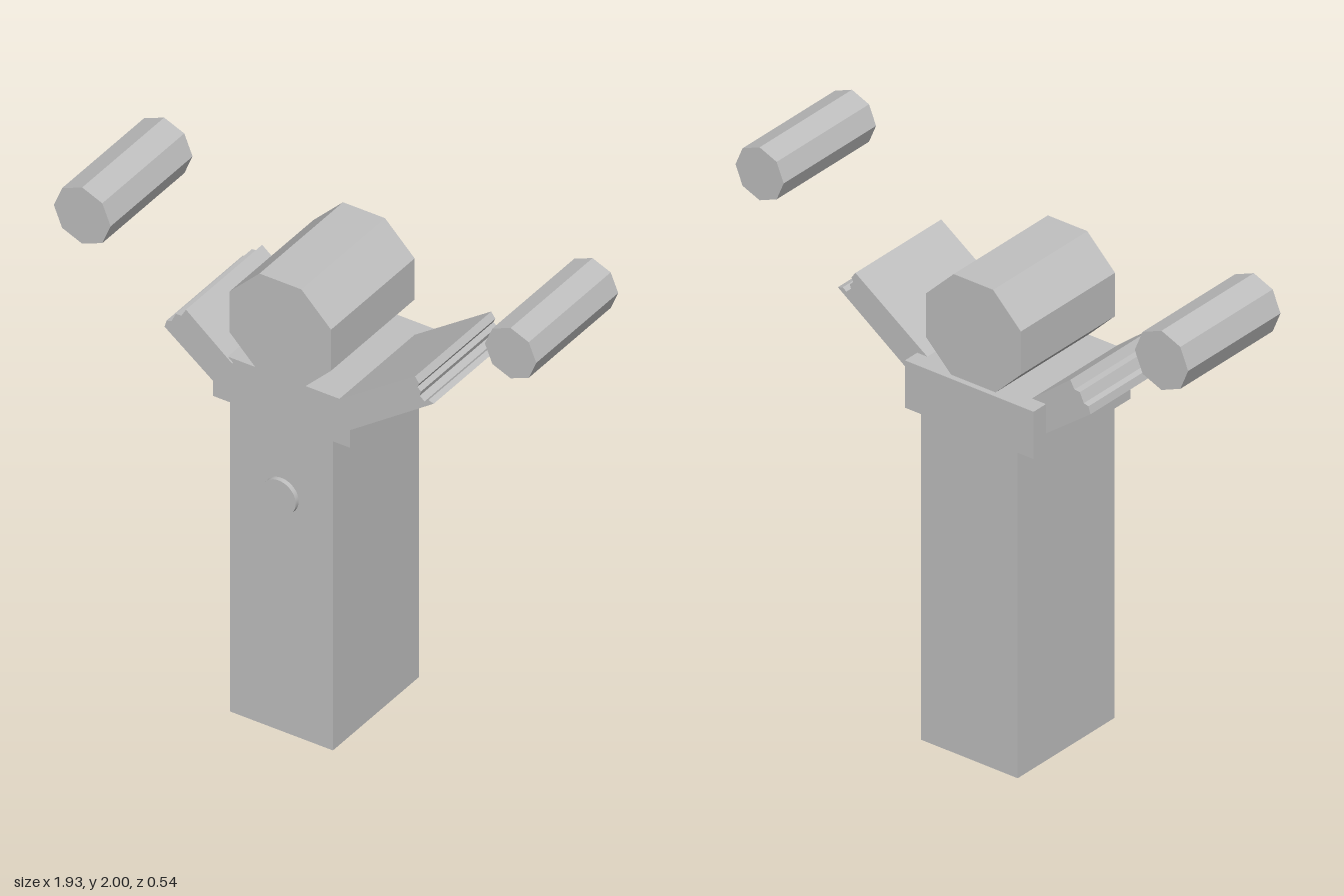
import * as THREE from 'three';

const grey = new THREE.MeshStandardMaterial({ color: 0xc0c0c0 });
grey.name = 'plain grey';

// Straight extrusion of a front outline between two depths
function slab(name, points, zBack, zFront) {
  const shape = new THREE.Shape(points.map(([x, y]) => new THREE.Vector2(x, y)));
  const geometry = new THREE.ExtrudeGeometry(shape, { depth: zFront - zBack, bevelEnabled: false });
  geometry.translate(0, 0, zBack);
  const mesh = new THREE.Mesh(geometry, grey);
  mesh.name = name;
  return mesh;
}

// Regular polygon outline, optionally stretched
function ring(cx, cy, rx, ry, sides, turn = 0) {
  return Array.from({ length: sides }, (_, i) => {
    const a = turn + (i / sides) * Math.PI * 2;
    return [cx + rx * Math.cos(a), cy + ry * Math.sin(a)];
  });
}

export function createModel() {
  const model = new THREE.Group();
  model.name = 'figure';

  // Tall body with wider shoulders
  model.add(slab('body', [
    [-0.275, 0], [0.138, 0], [0.138, 1.253], [0.207, 1.253],
    [0.207, 1.435], [-0.343, 1.435], [-0.343, 1.253], [-0.275, 1.253],
  ], -0.268, 0.25));

  // Octagonal head, flat side up
  const r = 1 / Math.cos(Math.PI / 8);
  model.add(slab('head', ring(-0.068, 1.625, 0.203 * r, 0.201 * r, 8, Math.PI / 8), -0.246, 0.257));

  // Raised arms with ragged ends
  model.add(slab('leftArm', [
    [0.204, 1.325], [0.546, 1.565], [0.525, 1.572], [0.51, 1.561], [0.489, 1.575],
    [0.495, 1.595], [0.48, 1.608], [0.488, 1.624], [0.471, 1.647], [0.135, 1.415],
  ], -0.202, 0.256));
  model.add(slab('rightArm', [
    [-0.34, 1.32], [-0.262, 1.418], [-0.447, 1.566], [-0.465, 1.535], [-0.488, 1.533],
    [-0.505, 1.497], [-0.525, 1.492], [-0.533, 1.464],
  ], -0.202, 0.256));

  // Detached octagonal hands, corner up
  model.add(slab('leftHand', ring(0.862, 1.898, 0.103, 0.102, 8), -0.225, 0.268));
  model.add(slab('rightHand', ring(-0.855, 1.798, 0.114, 0.114, 8), -0.225, 0.268));

  // Round button on the chest
  const button = new THREE.Mesh(new THREE.CylinderGeometry(0.069, 0.069, 0.03, 40), grey);
  button.name = 'button';
  button.rotation.x = Math.PI / 2;
  button.position.set(-0.068, 0.957, 0.253);
  model.add(button);

  return model;
}
